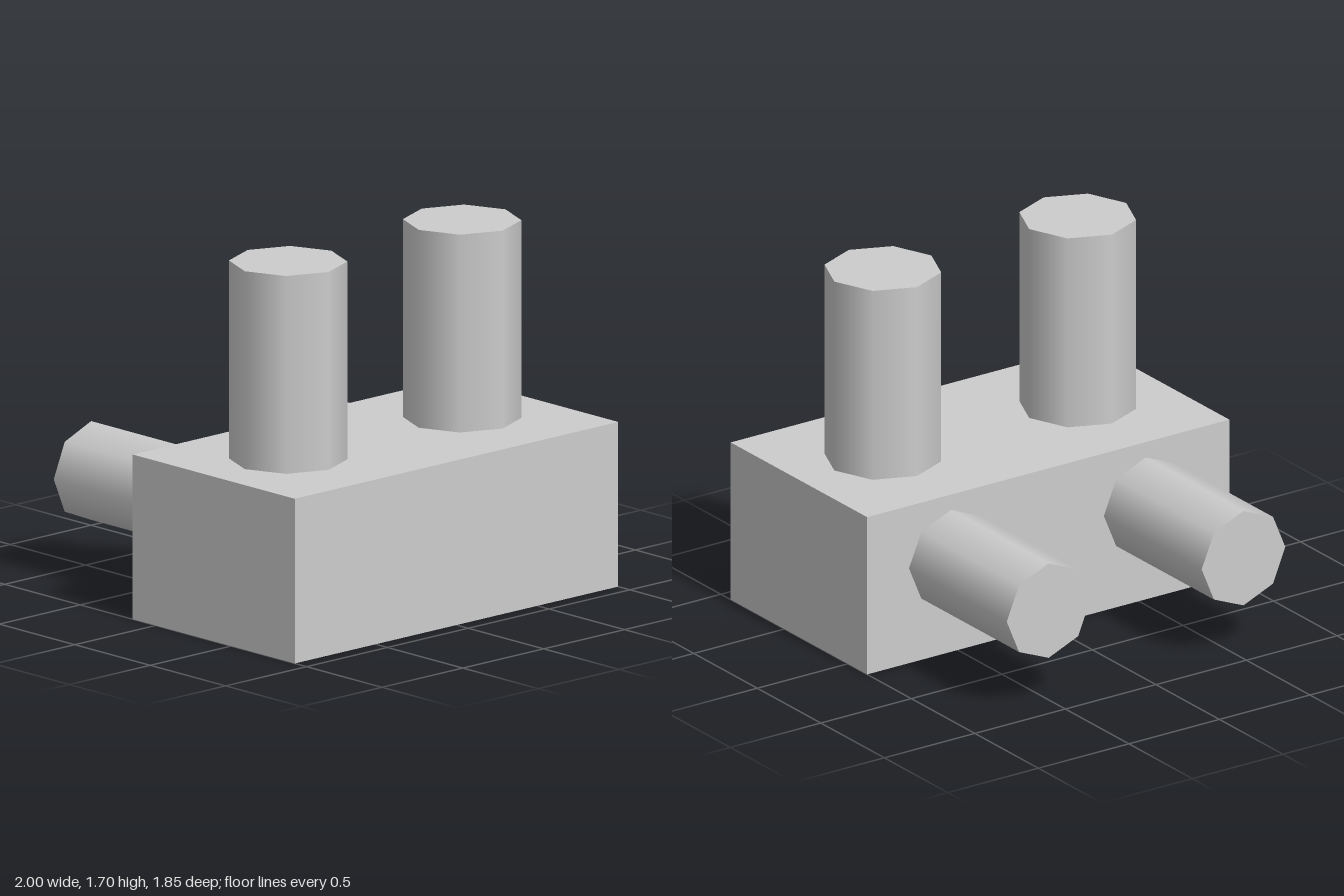
import * as THREE from 'three';

export function createModel() {
  const model = new THREE.Group();
  const lightGrey = new THREE.MeshStandardMaterial({ color: 0xcccccc });
  lightGrey.name = 'lightGrey';

  const addPart = (name, geometry, x, y, z) => {
    const mesh = new THREE.Mesh(geometry, lightGrey);
    mesh.name = name;
    mesh.position.set(x, y, z);
    model.add(mesh);
    return mesh;
  };

  // Solid block standing on the ground
  addPart('block', new THREE.BoxGeometry(2, 0.77, 1.075), 0, 0.385, 0.385);

  // Eight-sided posts on top and pegs at the back, mirrored left and right
  const postGeometry = new THREE.CylinderGeometry(0.268, 0.268, 0.925, 8);
  const pegGeometry = new THREE.CylinderGeometry(0.231, 0.231, 0.77, 8).rotateX(-Math.PI / 2);
  for (const [side, sign] of [['left', 1], ['right', -1]]) {
    addPart(side + 'Post', postGeometry, sign * 0.538, 0.77 + 0.4625, 0.383);
    addPart(side + 'Peg', pegGeometry, sign * 0.538, 0.464, -0.1525 - 0.385);
  }
  return model;
}
